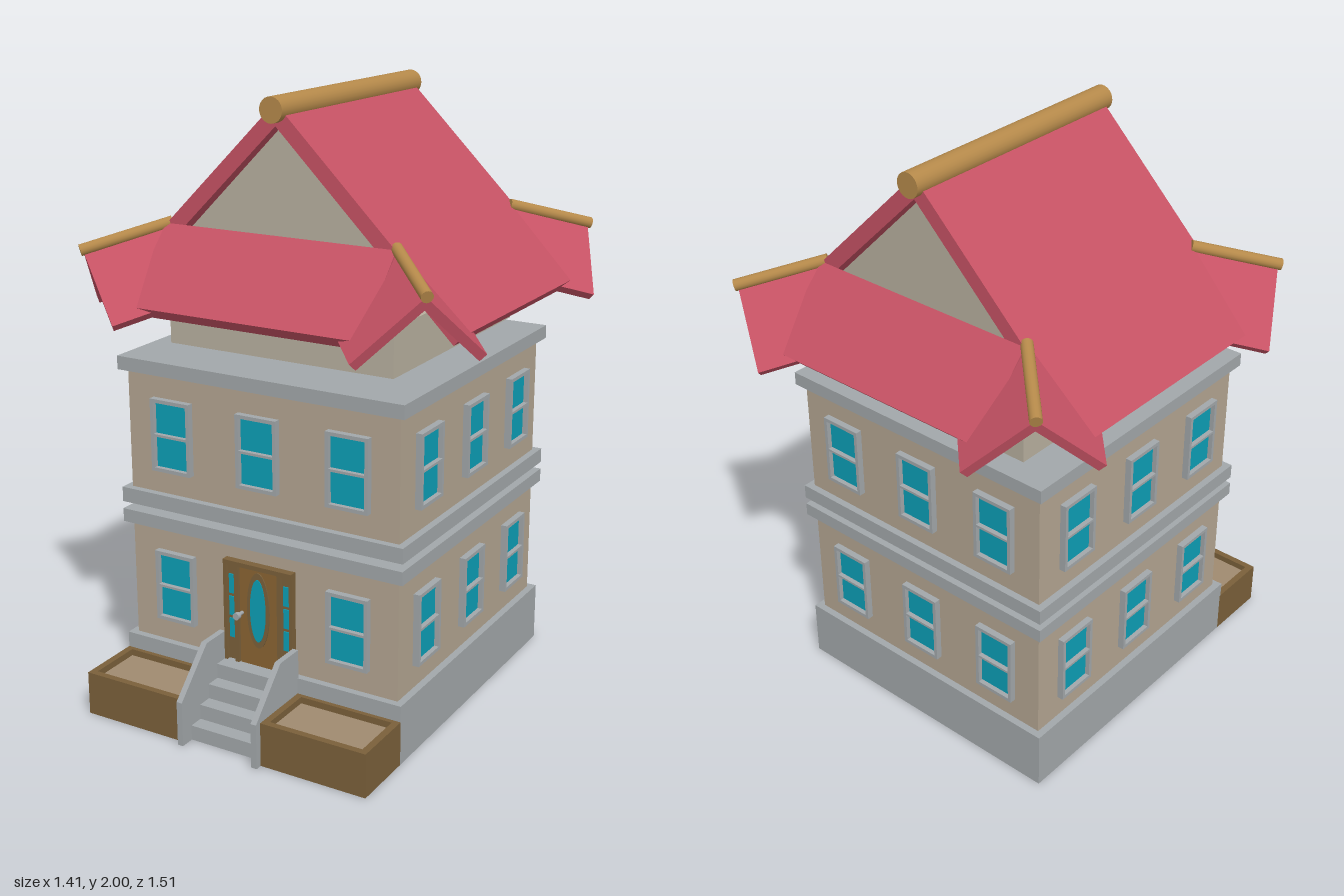
import * as THREE from 'three';

const mat = (color) => new THREE.MeshStandardMaterial({ color, flatShading: true });
const M = {
  wall: mat(0xb3a591), trim: mat(0xa2a7aa), glass: mat(0x0c9fb6), roof: mat(0xc65264),
  gold: mat(0xb5894a), attic: mat(0xb8b09f), wood: mat(0x7a603a), door: mat(0x8a6432), soil: mat(0xa08a70),
};
const V = (x, y, z) => new THREE.Vector3(x, y, z);

function add(parent, name, geometry, material) {
  const mesh = new THREE.Mesh(geometry, material);
  mesh.name = name;
  parent.add(mesh);
  return mesh;
}

// Box given by its lower and upper limits on each axis
function box(parent, name, material, x0, x1, y0, y1, z0, z1) {
  const mesh = add(parent, name, new THREE.BoxGeometry(x1 - x0, y1 - y0, z1 - z0), material);
  mesh.position.set((x0 + x1) / 2, (y0 + y1) / 2, (z0 + z1) / 2);
  return mesh;
}

// Rectangular board whose upper face has the consecutive corners a, b, c
function board(parent, name, material, a, b, c, t) {
  const u = b.clone().sub(a), v = c.clone().sub(b);
  const w = u.length(), h = v.length();
  u.normalize();
  const n = u.clone().cross(v).normalize();
  v.copy(n).cross(u);
  if (n.y < 0) { n.negate(); u.negate(); }
  const mesh = add(parent, name, new THREE.BoxGeometry(w, h, t), material);
  mesh.quaternion.setFromRotationMatrix(new THREE.Matrix4().makeBasis(u, v, n));
  mesh.position.copy(a).add(c).multiplyScalar(0.5).addScaledVector(n, -t / 2);
}

// Round pole from a to b
function pole(parent, name, material, a, b, r, sides = 16) {
  const d = b.clone().sub(a);
  const mesh = add(parent, name, new THREE.CylinderGeometry(r, r, d.length(), sides), new THREE.MeshStandardMaterial({ color: material.color }));
  mesh.quaternion.setFromUnitVectors(V(0, 1, 0), d.normalize());
  mesh.position.copy(a).add(b).multiplyScalar(0.5);
}

function polygon(points) {
  return new THREE.Shape(points.map(([x, y]) => new THREE.Vector2(x, y)));
}
const rect = (x0, x1, y0, y1) => polygon([[x0, y0], [x1, y0], [x1, y1], [x0, y1]]);
const extrude = (shape, depth) => new THREE.ExtrudeGeometry(shape, { depth, bevelEnabled: false, curveSegments: 16 });

const WALL = 0.493, EDGE = 0.517;

// Two-pane sash window, centred on its own origin, facing +z
function makeWindow() {
  const g = new THREE.Group();
  g.name = 'window';
  const shape = rect(-0.074, 0.074, -0.121, 0.121);
  shape.holes.push(rect(-0.062, 0.062, 0.004, 0.109), rect(-0.062, 0.062, -0.109, -0.004));
  add(g, 'windowFrame', extrude(shape, 0.032), M.trim).position.z = -0.01;
  box(g, 'windowGlass', M.glass, -0.065, 0.065, -0.112, 0.112, -0.01, 0.006);
  return g;
}

function makeDoor() {
  const g = new THREE.Group();
  g.name = 'door';
  box(g, 'doorBacking', M.wood, -0.128, 0.128, 0.2, 0.55, -0.01, 0.01);
  box(g, 'doorLeaf', M.door, -0.07, 0.07, 0.2, 0.54, 0, 0.016);
  box(g, 'doorLintel', M.wood, -0.128, 0.128, 0.535, 0.55, 0, 0.026);
  for (const s of [-1, 1]) {
    box(g, 'doorPost', M.wood, s * 0.08 - 0.007, s * 0.08 + 0.007, 0.2, 0.54, 0, 0.024);
    box(g, 'doorPost', M.wood, s * 0.123 - 0.005, s * 0.123 + 0.005, 0.2, 0.54, 0, 0.024);
    for (const y of [0.278, 0.355, 0.432])
      box(g, 'sidelightPane', M.glass, s * 0.102 - 0.011, s * 0.102 + 0.011, y, y + 0.066, 0, 0.014);
  }
  // Tall oval light with a raised surround
  for (const [name, m, rx, ry, depth] of [['ovalSurround', M.wood, 0.042, 0.13, 0.02], ['ovalGlass', M.glass, 0.029, 0.108, 0.022]]) {
    const oval = new THREE.Shape().absellipse(0, 0, rx, ry, 0, Math.PI * 2);
    add(g, name, extrude(oval, depth), m).position.y = 0.395;
  }
  pole(g, 'doorHandle', M.trim, V(-0.062, 0.375, 0.01), V(-0.062, 0.375, 0.045), 0.006, 10);
  pole(g, 'doorKnob', M.trim, V(-0.062, 0.375, 0.04), V(-0.062, 0.375, 0.054), 0.012, 12);
  return g;
}

function makeHouse() {
  const g = new THREE.Group();
  g.name = 'house';
  const slab = (name, m, r, y0, y1) => box(g, name, m, -r, r, y0, y1, -r, r);
  slab('base', M.trim, EDGE, 0, 0.2);
  slab('lowerWalls', M.wall, WALL, 0.2, 0.6);
  slab('lowerCornice', M.trim, EDGE, 0.6, 0.645);
  slab('upperSill', M.trim, EDGE, 0.67, 0.72);
  slab('upperWalls', M.wall, WALL, 0.72, 1.12);
  slab('upperCornice', M.trim, EDGE, 1.12, 1.165);
  // Three windows per storey on each side, the door in the middle of the front
  for (let k = 0; k < 4; k++) {
    const side = new THREE.Group();
    side.name = 'facade';
    side.rotation.y = k * Math.PI / 2;
    g.add(side);
    for (const y of [0.4, 0.92]) for (const x of [-0.322, 0, 0.322]) {
      const isDoor = k === 0 && y === 0.4 && x === 0;
      const part = isDoor ? makeDoor() : makeWindow();
      part.position.set(x, isDoor ? 0 : y, WALL);
      side.add(part);
    }
  }
  return g;
}

function makeEntrance() {
  const g = new THREE.Group();
  g.name = 'entrance';
  for (let i = 0; i < 4; i++)
    box(g, 'step', M.trim, -0.13, 0.13, i * 0.05, (i + 1) * 0.05, 0.5, 0.7 - i * 0.05);
  const cheek = polygon([[0.5, 0], [0.748, 0], [0.748, 0.15], [0.605, 0.296], [0.5, 0.296]]);
  for (const s of [-1, 1]) {
    // Sloping stair wall
    const wall = add(g, 'stairWall', extrude(cheek, 0.02), M.trim);
    wall.rotation.y = -Math.PI / 2;
    wall.position.x = s * 0.138 + 0.01;
    // Planter box with soil
    const planter = new THREE.Group();
    planter.name = 'planter';
    planter.position.x = s * 0.332;
    g.add(planter);
    const shape = rect(-0.185, 0.185, -0.725, -0.5);
    shape.holes.push(rect(-0.162, 0.162, -0.703, -0.52));
    const rim = add(planter, 'planterWalls', extrude(shape, 0.147), M.wood);
    rim.rotation.x = -Math.PI / 2;
    box(planter, 'soil', M.soil, -0.165, 0.165, 0, 0.125, 0.515, 0.708);
  }
  return g;
}

function makeRoof() {
  const g = new THREE.Group();
  g.name = 'roof';
  box(g, 'atticWalls', M.attic, -0.405, 0.405, 1.19, 1.49, -0.42, 0.42);
  box(g, 'soffit', M.attic, -0.5, 0.5, 1.385, 1.4, -0.5, 0.5);
  const gable = polygon([[-0.385, 1.52], [0.385, 1.52], [0, 1.905]]);
  add(g, 'gable', extrude(gable, 0.77), M.attic).position.z = -0.385;
  pole(g, 'ridgePole', M.gold, V(0, 1.96, -0.445), V(0, 1.96, 0.445), 0.04, 24);
  for (const s of [-1, 1]) {
    board(g, 'roofSlope', M.roof, V(0, 1.98, -0.42), V(0, 1.98, 0.42), V(s * 0.635, 1.355, 0.42), 0.05);
    board(g, 'roofSkirt', M.roof, V(-0.41, 1.58, s * 0.42), V(0.41, 1.58, s * 0.42), V(0.41, 1.355, s * 0.633), 0.05);
  }
  // Upturned corners: a hip pole with a flared board on each side
  for (const sx of [-1, 1]) for (const sz of [-1, 1]) {
    const P = (x, y, z) => V(sx * x, y, sz * z);
    const a = P(0.412, 1.58, 0.412), b = P(0.605, 1.5, 0.605);
    board(g, 'cornerFlare', M.roof, a, b, P(0.41, 1.31, 0.7), 0.03);
    board(g, 'cornerFlare', M.roof, a, b, P(0.7, 1.31, 0.41), 0.03);
    pole(g, 'hipPole', M.gold, P(0.4, 1.582, 0.4), P(0.607, 1.505, 0.607), 0.019);
  }
  return g;
}

export function createModel() {
  const model = new THREE.Group();
  model.name = 'townhouse';
  const house = makeHouse(), roof = makeRoof();
  house.position.z = -0.012;
  roof.position.z = -0.055;
  model.add(house, makeEntrance(), roof);
  return model;
}
